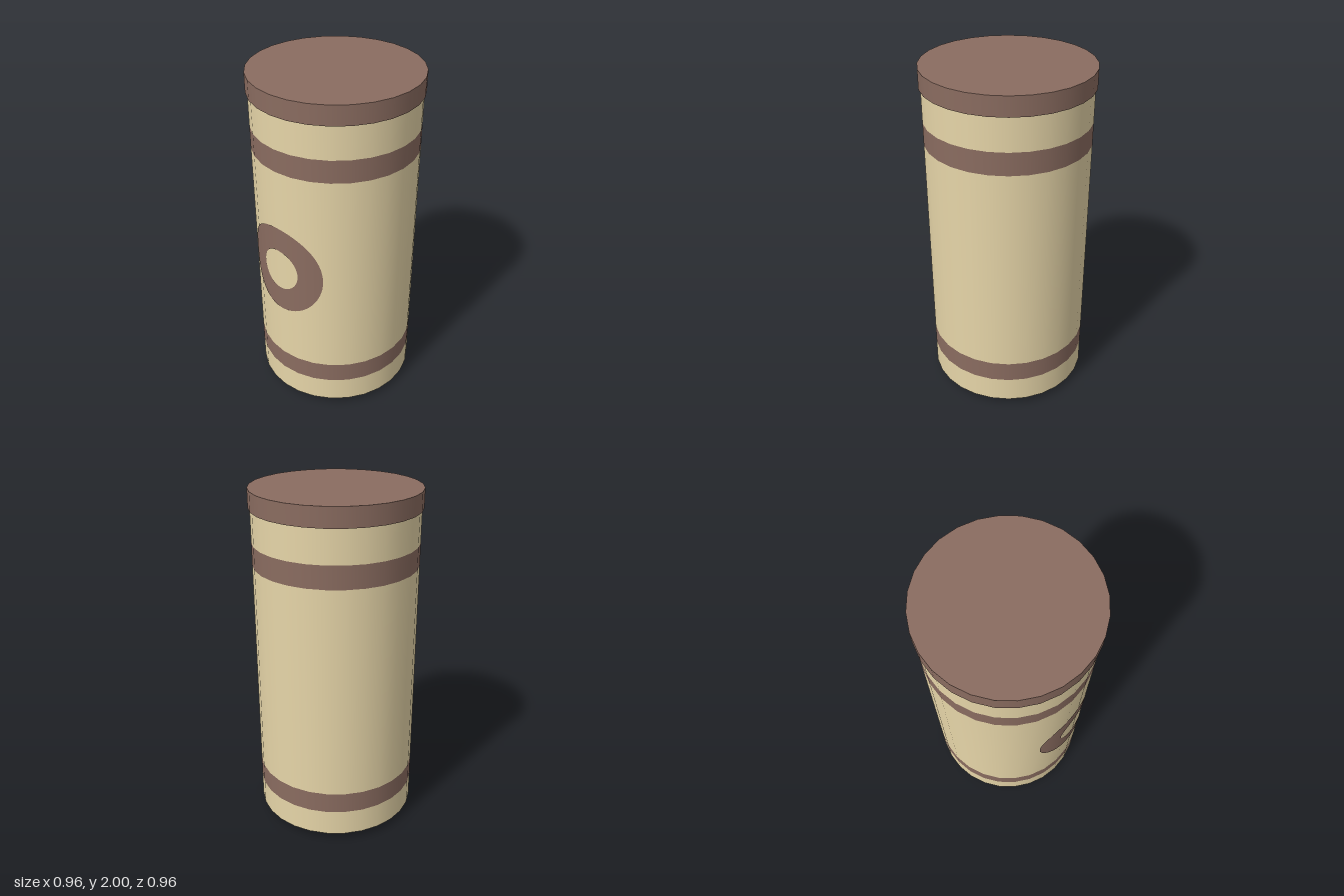
import * as THREE from 'three';

const SIDES = 28;
const RADIUS = 0.47;

export function createModel() {
  const model = new THREE.Group();
  const tan = new THREE.MeshStandardMaterial({ color: 0xe6d5a8 });
  tan.name = 'tan';
  const brown = new THREE.MeshStandardMaterial({ color: 0x8a6c60 });
  brown.name = 'brown';

  function add(name, geometry, material) {
    const mesh = new THREE.Mesh(geometry, material);
    mesh.name = name;
    model.add(mesh);
    return mesh;
  }

  // Wall of the canister, stacked as flush coloured bands
  const bands = [
    ['wallBottom', 0.04, 0.195, tan],
    ['lowerStripe', 0.195, 0.32, brown],
    ['wallMiddle', 0.32, 1.57, tan],
    ['upperStripe', 1.57, 1.7, brown],
    ['wallTop', 1.7, 1.9, tan],
  ];
  for (const [name, y0, y1, material] of bands) {
    const band = new THREE.CylinderGeometry(RADIUS, RADIUS, y1 - y0, SIDES, 1, true);
    add(name, band, material).position.y = (y0 + y1) / 2;
  }

  // Bevelled base, softly shaded from rim to centre
  const baseProfile = [[0, 0], [0.375, 0.003], [RADIUS, 0.04]].map(([r, y]) => new THREE.Vector2(r, y));
  add('base', new THREE.LatheGeometry(baseProfile, SIDES), tan);

  // Flat lid, slightly wider than the wall
  add('lid', new THREE.CylinderGeometry(0.48, 0.48, 0.11, SIDES), brown).position.y = 1.945;

  // Ring emblem wrapped around the front of the wall
  const ring = new THREE.RingGeometry(0.127, 0.276, 64, 8);
  const p = ring.attributes.position;
  const n = ring.attributes.normal;
  const r = RADIUS + 0.002;
  for (let i = 0; i < p.count; i++) {
    const angle = p.getX(i) / RADIUS;
    p.setXYZ(i, r * Math.sin(angle), p.getY(i), r * Math.cos(angle));
    n.setXYZ(i, Math.sin(angle), 0, Math.cos(angle));
  }
  add('frontRing', ring, brown).position.y = 0.945;

  return model;
}
